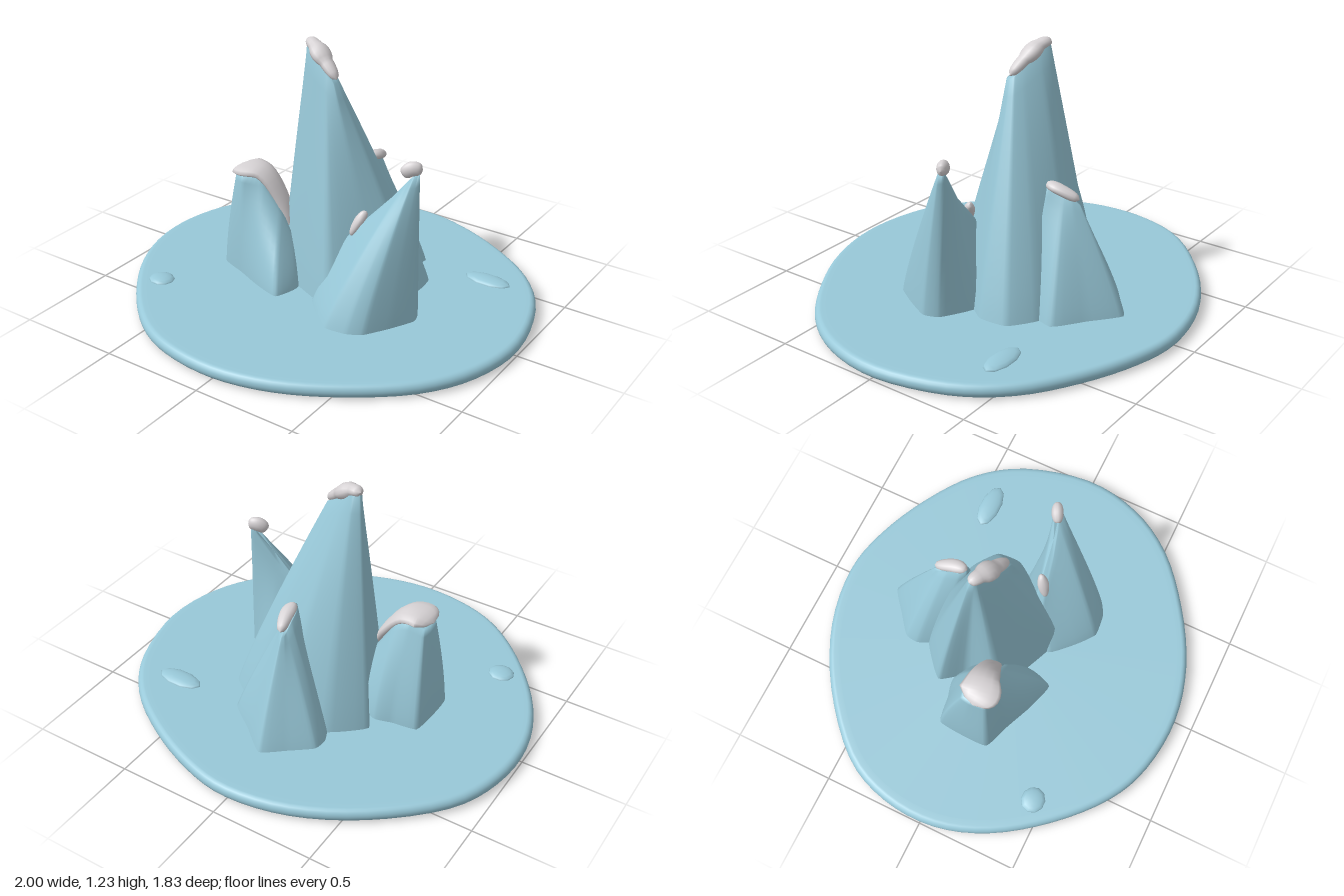
import * as THREE from 'three';

const V = (x, y, z) => new THREE.Vector3(x, y, z);

// Skin closed rings of points (clockwise seen from the last ring)
function skin(rows) {
  const n = rows[0].length, pos = [], idx = [];
  rows.forEach(r => r.forEach(p => pos.push(p.x, p.y, p.z)));
  for (let r = 0; r < rows.length - 1; r++) {
    for (let i = 0; i < n; i++) {
      const j = (i + 1) % n;
      const a = r * n + i, b = r * n + j, c = a + n, d = b + n;
      idx.push(a, c, b, b, c, d);
    }
  }
  const g = new THREE.BufferGeometry();
  g.setAttribute('position', new THREE.Float32BufferAttribute(pos, 3));
  g.setIndex(idx);
  g.computeVertexNormals();
  return g;
}

// Closed outline with softened corners
function outline(points, perSide, tension) {
  const curve = new THREE.CatmullRomCurve3(points, true, 'catmullrom', tension);
  const n = points.length * perSide;
  return Array.from({ length: n }, (_, i) => curve.getPoint(i / n));
}

const centre = ring => ring.reduce((s, p) => s.add(p), V(0, 0, 0)).divideScalar(ring.length);

// Crag: each entry is base x, z followed by the ridge point x, y, z
function crag(data, power) {
  const base = outline(data.map(d => V(d[0], 0.04, d[1])), 5, 0.22);
  const top = outline(data.map(d => V(d[2], d[3], d[4])), 5, 0.22);
  const rows = [], steps = 14;
  for (let k = 0; k <= steps; k++) {
    const t = k / steps, h = Math.pow(t, power);
    rows.push(base.map((p, i) => V(
      THREE.MathUtils.lerp(p.x, top[i].x, h),
      THREE.MathUtils.lerp(p.y, top[i].y, t),
      THREE.MathUtils.lerp(p.z, top[i].z, h))));
  }
  const c = centre(top);
  rows.push(top.map(p => p.clone().lerp(c, 0.3)), top.map(() => c.clone()));
  return skin(rows);
}

// Snow: rounded strip along a path; each entry is x, y, z, half width, half height
function snowStrip(data) {
  const path = new THREE.CatmullRomCurve3(data.map(d => V(d[0], d[1], d[2])));
  const sizes = new THREE.CatmullRomCurve3(data.map(d => V(d[3], d[4], 0)));
  const rows = [], steps = 18, sides = 12;
  for (let k = 0; k <= steps; k++) {
    const t = k / steps, c = path.getPoint(t), s = sizes.getPoint(t), dir = path.getTangent(t);
    const side = dir.clone().cross(V(0, 1, 0)).normalize();
    const up = side.clone().cross(dir);
    const round = Math.pow(Math.max(0, 1 - Math.pow(Math.abs(2 * t - 1), 5)), 0.5);
    rows.push(Array.from({ length: sides }, (_, i) => {
      const a = i / sides * Math.PI * 2;
      return c.clone().addScaledVector(side, Math.cos(a) * s.x * round)
        .addScaledVector(up, Math.sin(a) * s.y * round);
    }));
  }
  return skin(rows);
}

export function createModel() {
  const group = new THREE.Group();
  const ice = new THREE.MeshStandardMaterial({ color: 0x98c8d8 });
  ice.name = 'paleBlueIce';
  const snow = new THREE.MeshStandardMaterial({ color: 0xd6d2d4 });
  snow.name = 'greyWhiteSnow';
  const add = (name, geometry, material) => {
    const m = new THREE.Mesh(geometry, material);
    m.name = name;
    group.add(m);
    return m;
  };

  // Round-edged irregular base slab
  const rim = outline([
    [0, -0.915], [0.25, -0.87], [0.52, -0.75], [0.76, -0.58], [0.92, -0.35],
    [1, -0.02], [0.95, 0.27], [0.8, 0.51], [0.55, 0.71], [0.28, 0.85],
    [0, 0.91], [-0.28, 0.88], [-0.5, 0.78], [-0.72, 0.58], [-0.9, 0.33],
    [-0.99, 0.07], [-0.98, -0.2], [-0.87, -0.45], [-0.6, -0.7], [-0.3, -0.86],
  ].map(p => V(p[0], 0, p[1])), 4, 0.5);
  const half = 0.0325, slab = [];
  const slabRow = (scale, y) => slab.push(rim.map(p => V(p.x * scale, y, p.z * scale)));
  slabRow(0, 0);
  slabRow(0.94, 0);
  for (let k = 0; k <= 10; k++) {
    const a = -Math.PI / 2 + Math.PI * k / 10;
    slabRow(1 - half * (1 - Math.cos(a)), half + half * Math.sin(a));
  }
  slabRow(0.94, half * 2);
  slabRow(0, half * 2);
  add('baseSlab', skin(slab), ice);

  // Four crags
  add('mainPeak', crag([
    [-0.18, -0.37, -0.15, 1.2, -0.11], [0.05, -0.42, -0.1, 1.17, -0.09],
    [0.28, -0.36, -0.02, 1.11, -0.06], [0.4, -0.27, 0.02, 1.08, -0.04],
    [0.41, -0.13, 0.025, 1.07, -0.02], [0.3, 0.02, 0.02, 1.07, 0],
    [0.14, 0.22, -0.03, 1.1, -0.01], [-0.06, 0.15, -0.1, 1.14, -0.03],
    [-0.24, 0.06, -0.17, 1.19, -0.07], [-0.25, -0.12, -0.18, 1.2, -0.08],
    [-0.33, -0.24, -0.18, 1.2, -0.1],
  ], 1.12), ice);
  add('backCrag', crag([
    [0.01, -0.65, 0.03, 0.56, -0.41], [0.15, -0.54, 0.05, 0.58, -0.38],
    [0.29, -0.43, 0.06, 0.6, -0.34], [0.22, -0.25, 0.08, 0.63, -0.27],
    [0, -0.2, 0.05, 0.64, -0.25], [-0.15, -0.3, 0.03, 0.62, -0.28],
    [-0.21, -0.42, 0.02, 0.6, -0.34], [-0.2, -0.49, 0.02, 0.57, -0.38],
    [-0.1, -0.57, 0.02, 0.56, -0.4],
  ], 1.15), ice);
  add('leftCrag', crag([
    [0.33, -0.07, 0.34, 0.58, 0.03], [0.5, 0.02, 0.47, 0.76, 0],
    [0.53, 0.1, 0.49, 0.76, 0.02], [0.47, 0.22, 0.485, 0.75, 0.03],
    [0.4, 0.33, 0.47, 0.75, 0.04], [0.33, 0.37, 0.45, 0.73, 0.04],
    [0.22, 0.38, 0.42, 0.69, 0.05], [0.13, 0.31, 0.3, 0.54, 0.08],
    [0.03, 0.2, 0.16, 0.38, 0.1], [0.1, 0.05, 0.18, 0.42, 0.06],
  ], 1.2), ice);
  add('rightCrag', crag([
    [-0.31, -0.17, -0.33, 0.53, -0.02], [-0.15, -0.08, -0.2, 0.32, 0],
    [-0.08, 0.16, -0.17, 0.28, 0.06], [-0.12, 0.28, -0.24, 0.41, 0.06],
    [-0.26, 0.24, -0.33, 0.54, 0.08], [-0.4, 0.18, -0.41, 0.56, 0.13],
    [-0.53, 0.13, -0.47, 0.55, 0.1], [-0.535, 0, -0.48, 0.55, 0.03],
    [-0.52, -0.13, -0.47, 0.55, -0.01], [-0.4, -0.15, -0.4, 0.57, -0.02],
  ], 1.5), ice);

  // Snow lying on the ridges
  add('mainPeakSnow', snowStrip([
    [-0.185, 1.215, -0.1, 0.03, 0.025], [-0.13, 1.2, -0.075, 0.034, 0.028],
    [-0.05, 1.145, -0.045, 0.034, 0.028], [0.025, 1.085, -0.02, 0.028, 0.025]]), snow);
  add('backCragSnow', snowStrip([
    [0.06, 0.635, -0.25, 0.022, 0.02], [0.06, 0.625, -0.31, 0.034, 0.024],
    [0.035, 0.585, -0.41, 0.024, 0.024]]), snow);
  add('leftCragSnow', snowStrip([
    [0.415, 0.745, 0.045, 0.022, 0.03], [0.45, 0.775, 0.025, 0.028, 0.035],
    [0.495, 0.775, 0.005, 0.022, 0.03]]), snow);
  add('leftSaddleSnow', snowStrip([
    [0.185, 0.4, 0.1, 0.015, 0.018], [0.21, 0.47, 0.075, 0.028, 0.022],
    [0.235, 0.52, 0.05, 0.015, 0.02]]), snow);
  add('rightCragSnow', snowStrip([
    [-0.49, 0.555, 0.05, 0.075, 0.02], [-0.43, 0.57, 0.055, 0.1, 0.025],
    [-0.35, 0.56, 0.04, 0.075, 0.025], [-0.26, 0.45, 0.03, 0.05, 0.025],
    [-0.19, 0.3, 0.04, 0.025, 0.02]]), snow);

  // Low lumps on the slab
  for (const [name, x, z, w, d] of [['frontLump', -0.67, 0.45, 0.065, 0.06], ['backLump', 0.63, -0.42, 0.12, 0.055]]) {
    const lump = add(name, new THREE.SphereGeometry(1, 10, 8), ice);
    lump.scale.set(w, 0.022, d);
    lump.position.set(x, 0.063, z);
  }
  return group;
}
